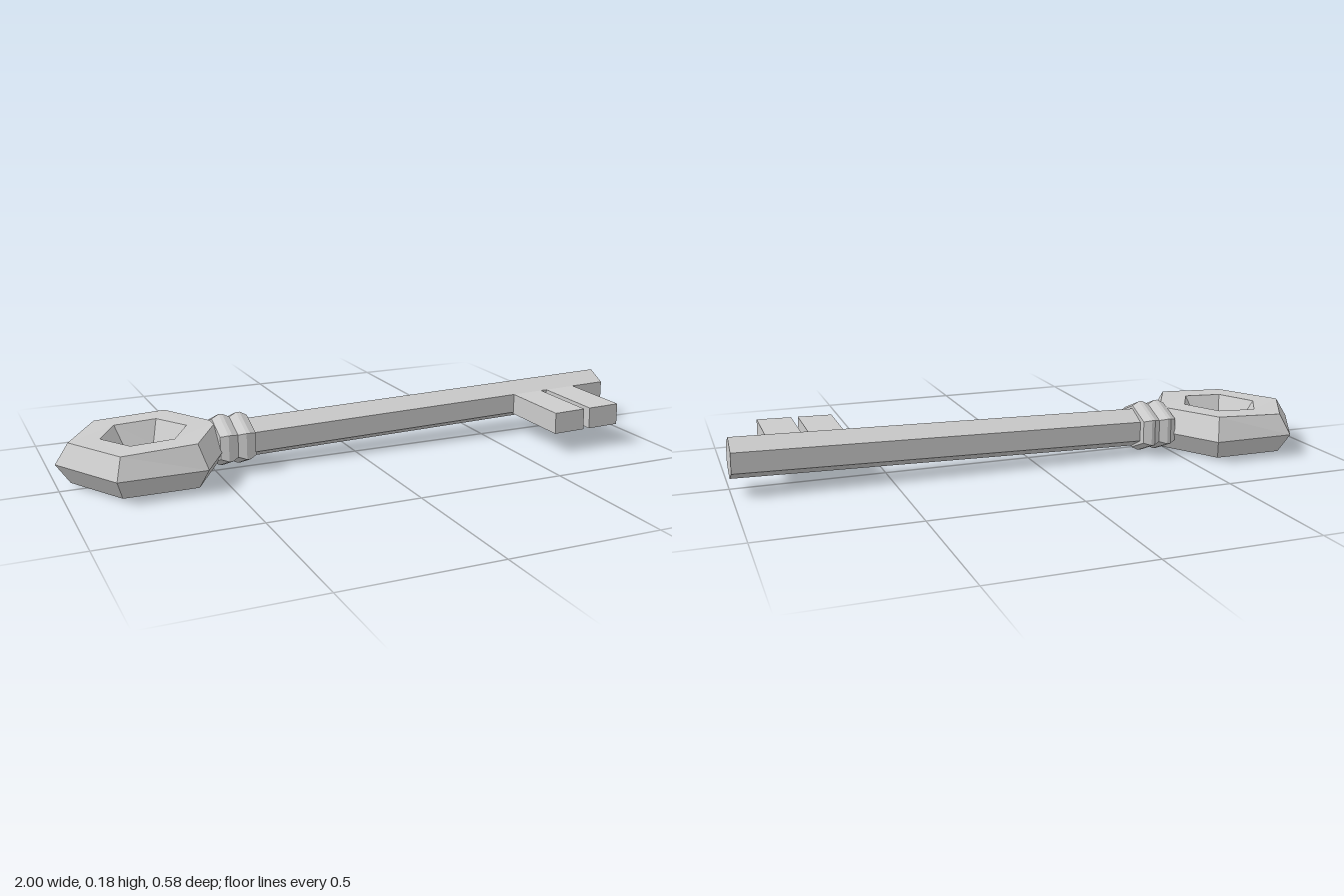
import * as THREE from 'three';

const material = new THREE.MeshStandardMaterial({ color: 0xcccccc, flatShading: true });
const AXIS_Z = -0.044;

// Six-sided turned solid; profile points are [radius, height], corners on the x axis
function hexLathe(profile) {
  const points = profile.map(([r, y]) => new THREE.Vector2(r, y));
  return new THREE.LatheGeometry(points, 6, Math.PI / 2);
}

function addMesh(parent, name, geometry, x, y, z) {
  const flat = geometry.toNonIndexed();
  flat.computeVertexNormals();
  const mesh = new THREE.Mesh(flat, material);
  mesh.name = name;
  mesh.position.set(x, y, z);
  parent.add(mesh);
  return mesh;
}

export function createModel() {
  const key = new THREE.Group();
  key.name = 'key';

  // Bow: hexagonal ring with a six-sided section
  const bow = hexLathe([
    [0.283, 0], [0.239, 0.066], [0.14, 0.066], [0.095, 0],
    [0.14, -0.066], [0.239, -0.066], [0.283, 0],
  ]);
  // the upper face rises slightly towards the shaft
  const p = bow.attributes.position;
  for (let i = 0; i < p.count; i++) {
    if (p.getY(i) > 0.01) {
      const t = THREE.MathUtils.clamp((p.getX(i) + 0.14) / 0.26, 0, 1);
      p.setY(i, p.getY(i) + 0.011 * t);
    }
  }
  addMesh(key, 'bow', bow, -0.717, 0.074, -0.046);

  // Collar: two bulging hexagonal bands, flattened in height
  const collar = hexLathe([
    [0, -0.06], [0.105, -0.06], [0.123, -0.036], [0.123, -0.024], [0.105, 0],
    [0.123, 0.024], [0.123, 0.036], [0.105, 0.06], [0, 0.06],
  ]);
  collar.rotateZ(-Math.PI / 2).scale(1, 0.715, 1);
  addMesh(key, 'collar', collar, -0.433, 0.088, AXIS_Z);

  // Blade: shaft and teeth, climbing gently towards the tip
  const blade = new THREE.Group();
  blade.name = 'blade';
  blade.position.set(-0.43, 0.084, AXIS_Z);
  blade.rotation.z = 0.021;
  key.add(blade);

  const shaft = hexLathe([[0, -0.03], [0.075, -0.03], [0.075, 1.429], [0, 1.429]]);
  shaft.rotateZ(-Math.PI / 2).scale(1, 0.89, 1);
  addMesh(blade, 'shaft', shaft, 0, 0, 0);

  for (const x of [0.677, 0.815]) {
    const tooth = new THREE.BoxGeometry(0.115, 0.073, 0.29);
    addMesh(blade, 'tooth', tooth, x + 0.43, -0.003, 0.188);
  }
  return key;
}
